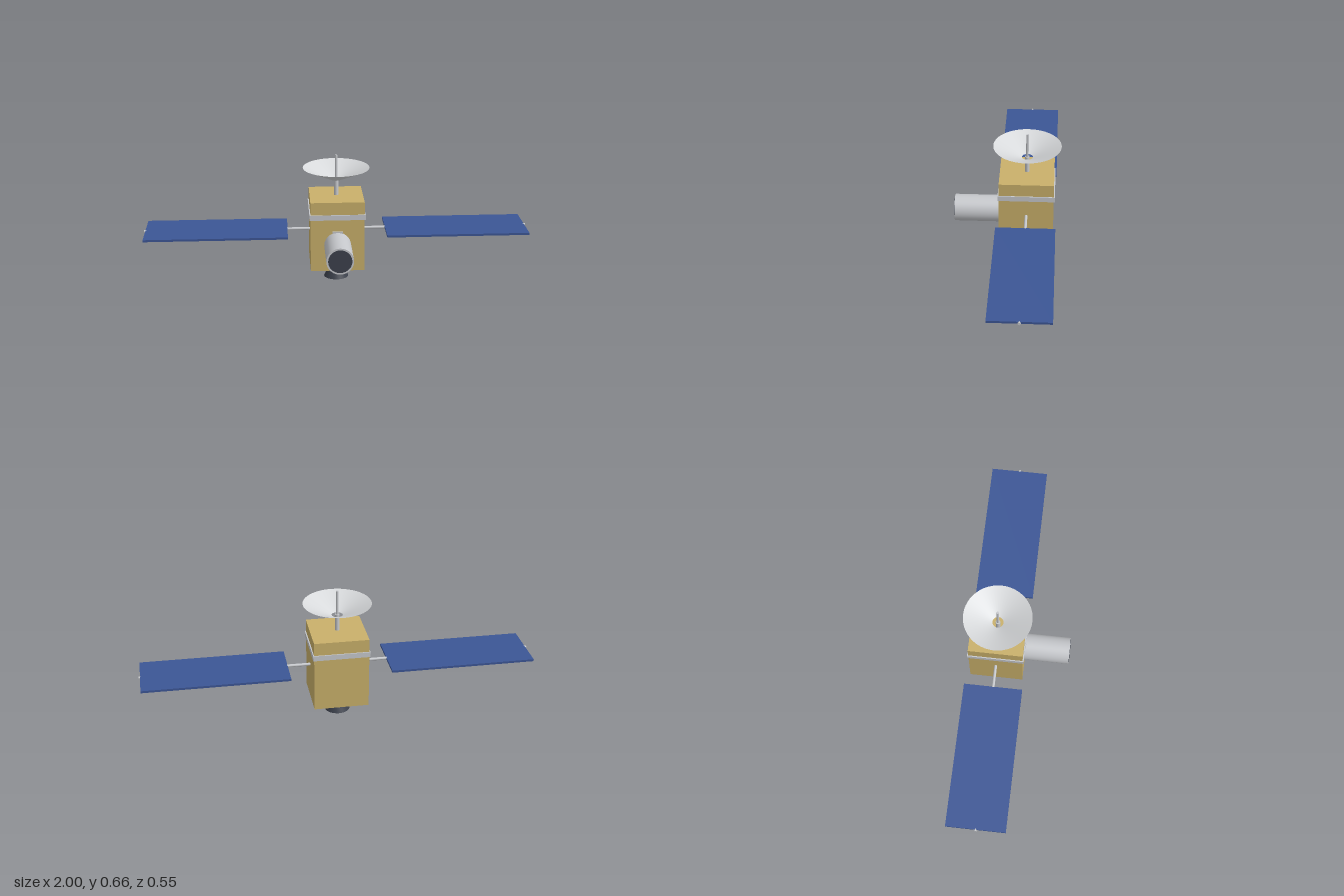
import * as THREE from 'three';

export function createModel() {
  const model = new THREE.Group();
  model.name = 'satellite';
  const material = (name, color, side = THREE.FrontSide) => {
    const m = new THREE.MeshStandardMaterial({ color, side });
    m.name = name;
    return m;
  };
  const gold = material('gold foil', 0xc9b06a);
  const silver = material('silver', 0xc6c8cc);
  const white = material('dish white', 0xd8dadc, THREE.DoubleSide);
  const blue = material('solar blue', 0x3c5695);
  const dark = material('dark metal', 0x3c414c, THREE.DoubleSide);

  // Everything is mounted around the body axis at z = -0.1
  const Z = -0.1;
  const add = (name, geometry, mat, x, y, z) => {
    const mesh = new THREE.Mesh(geometry, mat);
    mesh.name = name;
    mesh.position.set(x, y, z);
    model.add(mesh);
    return mesh;
  };
  const box = (name, mat, w, h, d, x, y, z) =>
    add(name, new THREE.BoxGeometry(w, h, d), mat, x, y, z);
  const rod = (name, mat, r, length, x, y, z, sides = 24) =>
    add(name, new THREE.CylinderGeometry(r, r, length, sides), mat, x, y, z);

  // Body and the band around it
  box('body', gold, 0.277, 0.37, 0.277, 0, 0.265, Z);
  box('band', silver, 0.288, 0.027, 0.288, 0, 0.3705, Z);

  // Open engine bell
  add('nozzle', new THREE.CylinderGeometry(0.027, 0.064, 0.08, 32, 1, true), dark, 0, 0.04, Z);

  // Telescope on the front with its lens and a small mounting tab
  rod('telescope', silver, 0.069, 0.241, 0, 0.22, 0.1505, 40).rotation.x = Math.PI / 2;
  rod('lens', dark, 0.06, 0.006, 0, 0.22, 0.27, 40).rotation.x = Math.PI / 2;
  box('telescopeTab', silver, 0.055, 0.012, 0.012, 0, 0.289, 0.039);

  // Antenna: mast, open dish and feed
  rod('mast', silver, 0.0115, 0.088, 0, 0.492, Z);
  add('dish', new THREE.CylinderGeometry(0.172, 0.028, 0.064, 48, 1, true), white, 0, 0.565, Z);
  rod('feed', silver, 0.0065, 0.133, 0, 0.5965, Z, 16);

  // Solar wings: boom, panel and end fitting on each side
  for (const [side, s] of [['left', 1], ['right', -1]]) {
    rod(side + 'Boom', silver, 0.0075, 0.125, s * 0.195, 0.266, Z, 12).rotation.z = Math.PI / 2;
    box(side + 'Panel', blue, 0.737, 0.011, 0.3, s * 0.6235, 0.2665, Z);
    rod(side + 'EndFitting', silver, 0.007, 0.012, s * 0.994, 0.266, Z, 8).rotation.z = Math.PI / 2;
  }
  return model;
}
